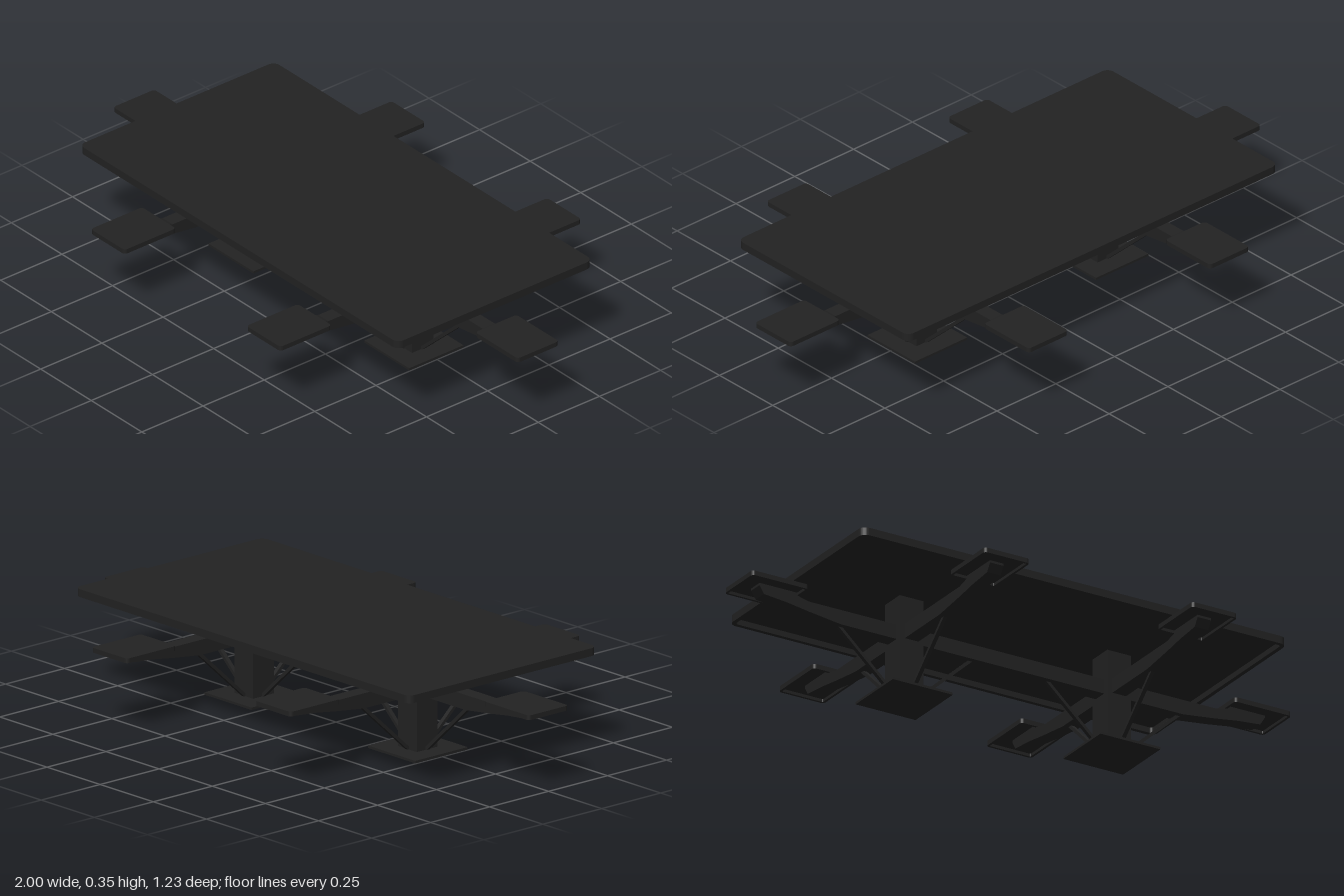
import * as THREE from 'three';

const material = new THREE.MeshStandardMaterial({ color: 0x222222 });
const COLUMN_X = 0.385;

function add(parent, name, geometry) {
  const mesh = new THREE.Mesh(geometry, material);
  mesh.name = name;
  parent.add(mesh);
  return mesh;
}

function roundedRect(target, w, d, r) {
  const x = w / 2, y = d / 2;
  target.moveTo(-x + r, -y);
  target.lineTo(x - r, -y);
  target.absarc(x - r, -y + r, r, -Math.PI / 2, 0);
  target.lineTo(x, y - r);
  target.absarc(x - r, y - r, r, 0, Math.PI / 2);
  target.lineTo(-x + r, y);
  target.absarc(-x + r, y - r, r, Math.PI / 2, Math.PI);
  target.lineTo(-x, -y + r);
  target.absarc(-x + r, -y + r, r, Math.PI, Math.PI * 1.5);
  return target;
}

// Flat panel with a turned-down rim, open underneath
function panel(name, w, d, r, bottom, top, sheet, rim) {
  const group = new THREE.Group();
  group.name = name;
  const flat = (shape, y0, y1) => new THREE.ExtrudeGeometry(shape, { depth: y1 - y0, bevelEnabled: false, curveSegments: 5 })
    .rotateX(-Math.PI / 2).translate(0, y0, 0);
  add(group, name + 'Sheet', flat(roundedRect(new THREE.Shape(), w, d, r), top - sheet, top));
  const edge = roundedRect(new THREE.Shape(), w, d, r);
  edge.holes.push(roundedRect(new THREE.Path(), w - rim * 2, d - rim * 2, Math.max(r - rim, 0.004)));
  add(group, name + 'Rim', flat(edge, bottom, top - sheet));
  return group;
}

// Side profile of a part running out along +x, extruded to a width
function profile(points, width) {
  const shape = new THREE.Shape(points.map(([x, y]) => new THREE.Vector2(x, y)));
  return new THREE.ExtrudeGeometry(shape, { depth: width, bevelEnabled: false }).translate(0, 0, -width / 2);
}

// Tapered arm carrying one seat
function seatArm() {
  const group = new THREE.Group();
  group.name = 'seatArm';
  add(group, 'arm', profile([
    [0, 0.19], [0.25, 0.19], [0.37, 0.205], [0.45, 0.217], [0.535, 0.225],
    [0.552, 0.252], [0.552, 0.26], [0.41, 0.26], [0.41, 0.25], [0.37, 0.24], [0, 0.24],
  ], 0.05));
  const seat = panel('seat', 0.21, 0.168, 0.012, 0.25, 0.266, 0.006, 0.008);
  seat.position.x = 0.51;
  group.add(seat);
  return group;
}

function pedestal() {
  const group = new THREE.Group();
  group.name = 'pedestal';
  add(group, 'basePlate', new THREE.BoxGeometry(0.222, 0.008, 0.222).translate(0, 0.004, 0));
  add(group, 'column', new THREE.BoxGeometry(0.088, 0.33, 0.088).translate(0, 0.17, 0));
  // Diagonal braces on all four sides
  for (let i = 0; i < 4; i++) {
    const brace = add(group, 'brace', profile([[0.03, 0.006], [0.046, 0.006], [0.25, 0.192], [0.234, 0.192]], 0.014));
    brace.rotation.y = i * Math.PI / 2;
  }
  // Outer arm along x, plus one to the front and one to the back
  for (const turn of [0, Math.PI / 2, -Math.PI / 2]) {
    const arm = seatArm();
    arm.rotation.y = turn;
    group.add(arm);
  }
  return group;
}

export function createModel() {
  const model = new THREE.Group();
  model.name = 'picnicTable';
  model.add(panel('tabletop', 1.574, 0.798, 0.025, 0.32, 0.346, 0.007, 0.014));

  for (const side of [1, -1]) {
    const support = pedestal();
    support.position.x = side * COLUMN_X;
    if (side < 0) support.rotation.y = Math.PI;
    model.add(support);
  }
  // Beam joining the two columns
  add(model, 'crossBeam', new THREE.BoxGeometry(COLUMN_X * 2, 0.05, 0.05).translate(0, 0.215, 0));
  return model;
}
